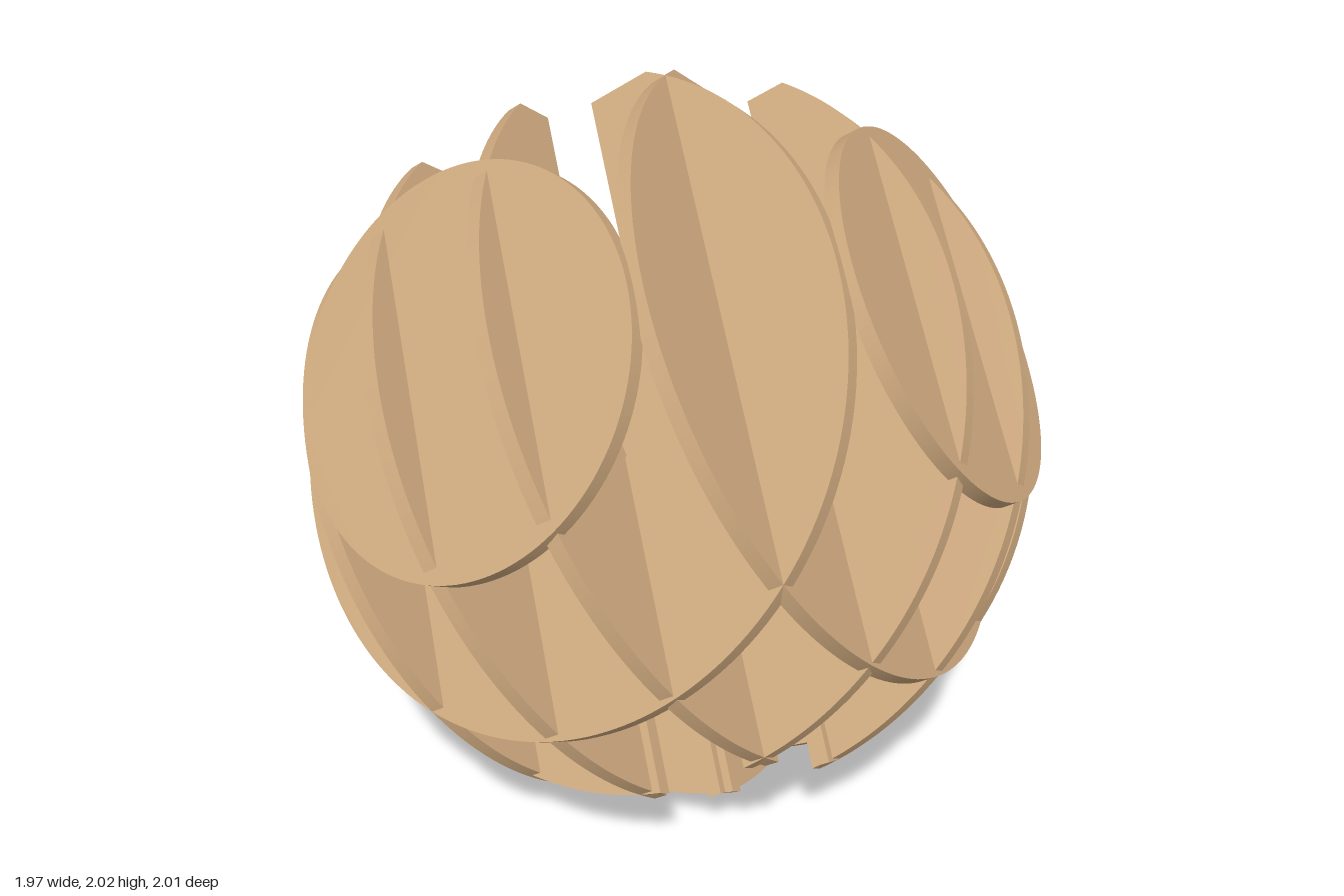
import * as THREE from 'three';
import { toCreasedNormals } from 'three/addons/utils/BufferGeometryUtils.js';

const R = 1;             // outer sphere
const INNER = 0.6;       // hollow: cylinder above, half sphere below
const RIM = Math.SQRT1_2; // height of the flat open rim along the axis
const STEP = 0.344;      // plate spacing
const THICK = 0.04;
const TILT = THREE.MathUtils.degToRad(40);

// Outline of one plate at a distance from the centre: u across, v along the axis
function plateShape(offset) {
  const r = Math.sqrt(R * R - offset * offset);
  const s = new THREE.Shape();
  if (offset > INNER) { // outermost plates are full discs
    s.absarc(0, 0, r, 0, Math.PI * 2, false);
    return s;
  }
  const inner = Math.sqrt(INNER * INNER - offset * offset);
  const rim = Math.asin(RIM / r);
  s.moveTo(inner, RIM);
  s.lineTo(r * Math.cos(rim), RIM);
  if (offset < STEP) { // middle plates have a square socket notch at the bottom
    const w = 0.128, top = -0.62, b = Math.acos(w / r);
    s.absarc(0, 0, r, rim, -b, true);
    s.lineTo(w, top);
    s.lineTo(-w, top);
    s.absarc(0, 0, r, b - Math.PI, -Math.PI - rim, true);
  } else {
    s.absarc(0, 0, r, rim, -Math.PI - rim, true);
  }
  s.lineTo(-inner, RIM);
  s.lineTo(-inner, 0);
  s.absarc(0, 0, inner, Math.PI, Math.PI * 2, false);
  s.closePath();
  return s;
}

function plateGeometry(offset) {
  const g = new THREE.ExtrudeGeometry(plateShape(offset), {
    depth: THICK, bevelEnabled: false, curveSegments: 64,
  });
  g.translate(0, 0, -THICK / 2);
  return toCreasedNormals(g, 0.5);
}

export function createModel() {
  const model = new THREE.Group();
  model.name = 'slicedSphere';
  const wood = new THREE.MeshStandardMaterial({ color: 0xd0ab80 });
  wood.name = 'tanWood';

  // Tilted axis pointing at the open rim, and the direction square to it
  const axis = new THREE.Vector3(0, Math.sin(TILT), -Math.cos(TILT));
  const up = new THREE.Vector3(0, Math.cos(TILT), Math.sin(TILT));

  const offsets = [0.5, 1.5, 2.5].map((k) => k * STEP);
  const geometries = offsets.map(plateGeometry);

  // Two crossing families of parallel plates
  for (const side of [1, -1]) {
    const family = new THREE.Group();
    family.name = side > 0 ? 'leftLeaningPlates' : 'rightLeaningPlates';
    const normal = new THREE.Vector3(side, 0, 0).add(up).normalize();
    const across = new THREE.Vector3().crossVectors(axis, normal);
    family.quaternion.setFromRotationMatrix(
      new THREE.Matrix4().makeBasis(across, axis, normal));
    family.position.y = 1;
    offsets.forEach((offset, i) => {
      for (const sign of [1, -1]) {
        const plate = new THREE.Mesh(geometries[i], wood);
        plate.name = ['middlePlate', 'hollowPlate', 'outerDisc'][i];
        plate.position.z = sign * offset;
        family.add(plate);
      }
    });
    model.add(family);
  }
  return model;
}
